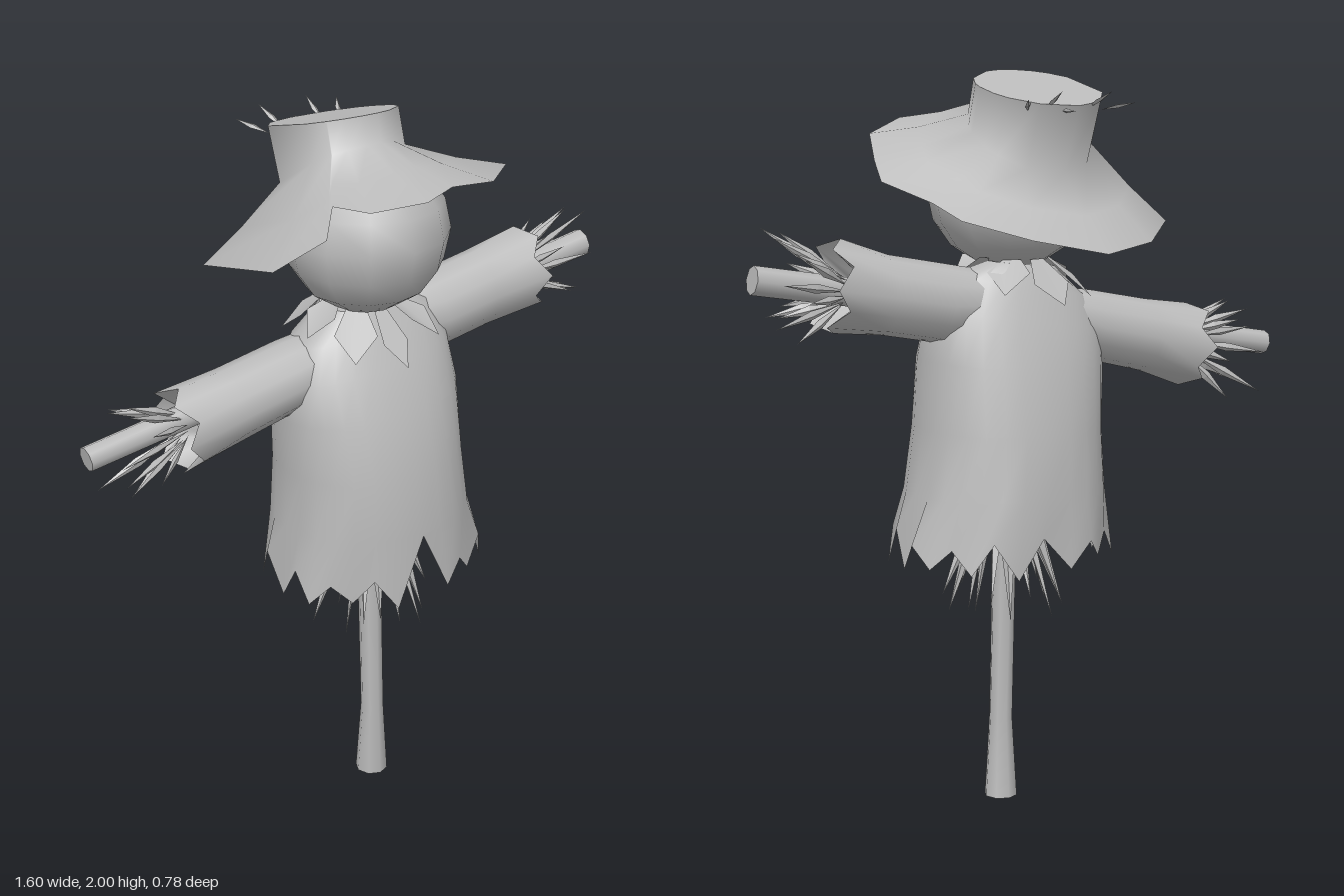
import * as THREE from 'three';

const cloth = new THREE.MeshStandardMaterial({ color: 0xbbbbbb, side: THREE.DoubleSide });
cloth.name = 'plainGrey';

const V = (x, y, z) => new THREE.Vector3(x, y, z);

function mesh(name, geometry, parent) {
  const m = new THREE.Mesh(geometry, cloth);
  m.name = name;
  parent.add(m);
  return m;
}

// Skin through closed rings of points that all have the same count
function loft(rings) {
  const n = rings[0].length, index = [];
  for (let i = 0; i < rings.length - 1; i++) {
    for (let j = 0; j < n; j++) {
      const k = (j + 1) % n, a = i * n, b = a + n;
      index.push(a + j, a + k, b + k, a + j, b + k, b + j);
    }
  }
  const g = new THREE.BufferGeometry().setFromPoints(rings.flat());
  g.setIndex(index);
  g.computeVertexNormals();
  return g;
}

// Ring of n points made by a rule of the angle
const ring = (n, rule) => Array.from({ length: n }, (_, i) => rule(i / n * Math.PI * 2, i));

// Flat cap over a ring
const cap = (points) => {
  const centre = points.reduce((s, p) => s.add(p), V(0, 0, 0)).divideScalar(points.length);
  return loft([points, points.map(() => centre.clone())]);
};

// Slender pointed straw between two points
function straw(from, to, width, parent) {
  const g = new THREE.OctahedronGeometry(1);
  const m = mesh('straw', g, parent);
  m.scale.set(width, from.distanceTo(to) / 2, width * 0.6);
  m.position.copy(from).lerp(to, 0.5);
  m.quaternion.setFromUnitVectors(V(0, 1, 0), to.clone().sub(from).normalize());
}

function addPoles(root) {
  // Upright post: y, centre x, centre z, half width x, half depth z
  const post = [[0, 0.065, 0.008, 0.046, 0.047], [0.22, 0.058, 0.02, 0.033, 0.033],
    [0.58, 0.052, 0.015, 0.032, 0.036], [1.45, 0.03, 0, 0.03, 0.03]];
  const rings = post.map(([y, x, z, rx, rz]) =>
    ring(8, a => V(x + rx * Math.sin(a), y, z + rz * Math.cos(a))));
  mesh('post', loft(rings), root);
  mesh('postFoot', cap(rings[0].slice().reverse()), root);

  // Crossbar through both sleeves
  const a = V(-0.795, 1.222, -0.015), b = V(0.79, 1.482, -0.01);
  const bar = mesh('crossbar', new THREE.CylinderGeometry(0.038, 0.034, a.distanceTo(b), 8), root);
  bar.position.copy(a).lerp(b, 0.5);
  bar.quaternion.setFromUnitVectors(V(0, 1, 0), b.clone().sub(a).normalize());
}

function addShirt(root) {
  const n = 28;
  // y, centre x, centre z, half width, half depth, slope of the shoulders
  const body = [[0.72, 0.062, 0.01, 0.305, 0.245, 0], [0.88, 0.05, 0.012, 0.275, 0.245, 0],
    [1.05, 0.04, 0.015, 0.258, 0.235, 0.02], [1.22, 0.033, 0.01, 0.262, 0.2, 0.08],
    [1.34, 0.025, 0.005, 0.25, 0.155, 0.14], [1.43, 0.02, 0, 0.2, 0.115, 0.18],
    [1.49, 0.015, 0, 0.1, 0.085, 0.1]];
  const rings = body.map(([y, cx, cz, rx, rz, slope], row) => ring(n, (a, i) => {
    const s = Math.sin(a), c = Math.cos(a);
    // Ragged hem, with a slit at the front
    let drop = 0;
    if (row === 0) {
      drop = (i % 2 ? -0.035 : 0.045) + 0.015 * Math.sin(i * 2.3);
      if (i === 0) drop = 0.15;
    }
    const fold = row === 0 ? 1 + 0.04 * Math.sin(i * 1.7) : 1;
    return V(cx + rx * fold * Math.sign(s) * Math.abs(s) ** 0.9, y + drop + slope * rx * s,
      cz + rz * fold * Math.sign(c) * Math.abs(c) ** 0.9);
  }));
  mesh('shirt', loft(rings), root);
  mesh('shirtNeck', cap(rings[rings.length - 1]), root);

  // Sleeves with ragged cuffs: x, centre y, half height, half depth
  const sleeves = {
    leftSleeve: [[0.1, 1.385, 0.085, 0.09], [0.26, 1.395, 0.105, 0.1], [0.42, 1.425, 0.105, 0.1], [0.58, 1.455, 0.115, 0.105]],
    rightSleeve: [[-0.06, 1.345, 0.08, 0.09], [-0.2, 1.31, 0.095, 0.1], [-0.38, 1.27, 0.1, 0.1], [-0.54, 1.235, 0.11, 0.108]]
  };
  for (const [name, rows] of Object.entries(sleeves)) {
    const side = Math.sign(rows[3][0]);
    const loops = rows.map(([x, y, ry, rz], r) => ring(12, (a, i) => {
      const jag = r === 3 ? (i % 2 ? 0.02 : -0.025) : 0;
      const flare = r === 3 && i % 3 === 0 ? 1.06 : 1;
      return V(x + side * jag - 0.1 * ry * Math.cos(a), y + ry * flare * Math.cos(a), -0.01 + rz * flare * Math.sin(a));
    }));
    // Cloth gathered from the cuff back to the crossbar
    const [x, y] = rows[3];
    const gather = ring(12, a => V(x - side * 0.09, y - 0.015 + 0.04 * Math.cos(a), -0.01 + 0.04 * Math.sin(a)));
    const lining = [loops[3], gather];
    mesh(name, loft(side > 0 ? loops : loops.reverse()), root);
    mesh(name + 'Lining', loft(side > 0 ? lining : lining.reverse()), root);
  }
}

function addCollar(root) {
  const collar = new THREE.Group();
  collar.name = 'collar';
  root.add(collar);
  // Pointed flaps: angle, half spread, tip radius, tip height
  const flaps = [[0.05, 0.22, 0.225, 1.36], [-0.6, 0.32, 0.23, 1.39], [0.65, 0.3, 0.23, 1.41], [1.5, 0.4, 0.19, 1.46],
    [2.45, 0.4, 0.19, 1.42], [3.3, 0.38, 0.2, 1.39], [4.1, 0.36, 0.2, 1.4], [4.9, 0.38, 0.18, 1.42]];
  for (const [a, w, r, y] of flaps) {
    const p = (t, rad, h) => V(0.015 + rad * Math.sin(t), h, rad * Math.cos(t));
    const pts = [p(a - w * 0.7, 0.085, 1.505), p(a - w, r * 0.78, y + 0.055), p(a, r, y),
      p(a + w, r * 0.78, y + 0.055), p(a + w * 0.7, 0.085, 1.505)];
    const g = new THREE.BufferGeometry().setFromPoints(pts);
    g.setIndex([0, 1, 2, 0, 2, 4, 2, 3, 4]);
    g.computeVertexNormals();
    mesh('collarFlap', g, collar);
  }
}

function addHeadAndHat(root) {
  const head = mesh('head', new THREE.SphereGeometry(0.225, 12, 8), root);
  head.position.set(0.02, 1.685, 0.035);
  head.scale.set(1, 0.95, 0.98);

  // Drooping brim edge, from the front round by the left
  const edge = [[-0.04, 1.87, 0.39], [0.07, 1.875, 0.34], [0.19, 1.87, 0.35], [0.37, 1.835, 0.17],
    [0.42, 1.77, 0.04], [0.44, 1.72, -0.04], [0.36, 1.67, -0.17], [0.33, 1.63, -0.27],
    [0.17, 1.58, -0.35], [-0.03, 1.54, -0.39], [-0.2, 1.56, -0.33], [-0.35, 1.6, -0.17],
    [-0.355, 1.69, 0.18], [-0.255, 1.78, 0.27], [-0.185, 1.83, 0.19], [-0.16, 1.845, 0.32]].map(p => V(...p));
  const angles = edge.map(p => Math.atan2(p.x - 0.01, p.z + 0.06));
  const base = angles.map(a => {
    const z = -0.06 + 0.145 * Math.cos(a);
    return V(0.01 + 0.172 * Math.sin(a), 1.835 + 0.66 * (z + 0.06), z);
  });
  const middle = edge.map((p, i) => p.clone().lerp(base[i], 0.5).add(V(0, -0.008, 0)));
  const top = angles.map(a => {
    const z = -0.105 + 0.172 * Math.cos(a);
    return V(0.01 + 0.172 * Math.sin(a), 1.957 + 0.26 * (z + 0.105), z);
  });
  mesh('hat', loft([edge, middle, base, top]), root);
  mesh('hatTop', cap(top), root);

  // Straw poking out behind the crown
  const tuft = new THREE.Group();
  tuft.name = 'hatStraw';
  root.add(tuft);
  for (const [x, dx, y] of [[-0.11, -0.04, 1.92], [-0.06, -0.02, 1.95], [0.06, 0.01, 1.95], [0.11, 0.06, 1.93], [0.02, 0.01, 1.9]]) {
    straw(V(x, 1.9, -0.22), V(x + dx, y, -0.325), 0.009, tuft);
  }
}

function addStraw(root) {
  // Straw bursting from both cuffs
  for (const [name, x, y, side] of [['leftHandStraw', 0.54, 1.445, 1], ['rightHandStraw', -0.52, 1.245, -1]]) {
    const hand = new THREE.Group();
    hand.name = name;
    root.add(hand);
    for (let i = 0; i < 14; i++) {
      const a = i / 14 * Math.PI * 2 + 0.2;
      const reach = 0.17 + 0.05 * Math.sin(i * 2.6), spread = 0.125 + 0.035 * Math.sin(i * 1.9);
      const c = Math.cos(a), s = Math.sin(a);
      straw(V(x, y + 0.035 * c, -0.01 + 0.035 * s),
        V(x + side * reach, y + side * 0.16 * reach + spread * 1.05 * c, -0.01 + spread * 0.8 * s), 0.013, hand);
    }
  }
  // Straw hanging below the hem round the post
  const skirt = new THREE.Group();
  skirt.name = 'hemStraw';
  root.add(skirt);
  for (let i = 0; i < 18; i++) {
    const a = i / 18 * Math.PI * 2;
    const r = 0.15 + 0.03 * Math.sin(i * 2.1), low = 0.56 + 0.035 * Math.sin(i * 3.7);
    straw(V(0.055 + 0.045 * Math.sin(a), 0.88, 0.01 + 0.045 * Math.cos(a)),
      V(0.055 + r * Math.sin(a), low, 0.01 + r * Math.cos(a)), 0.017, skirt);
  }
}

export function createModel() {
  const root = new THREE.Group();
  root.name = 'scarecrow';
  addPoles(root);
  addShirt(root);
  addCollar(root);
  addHeadAndHat(root);
  addStraw(root);
  return root;
}
